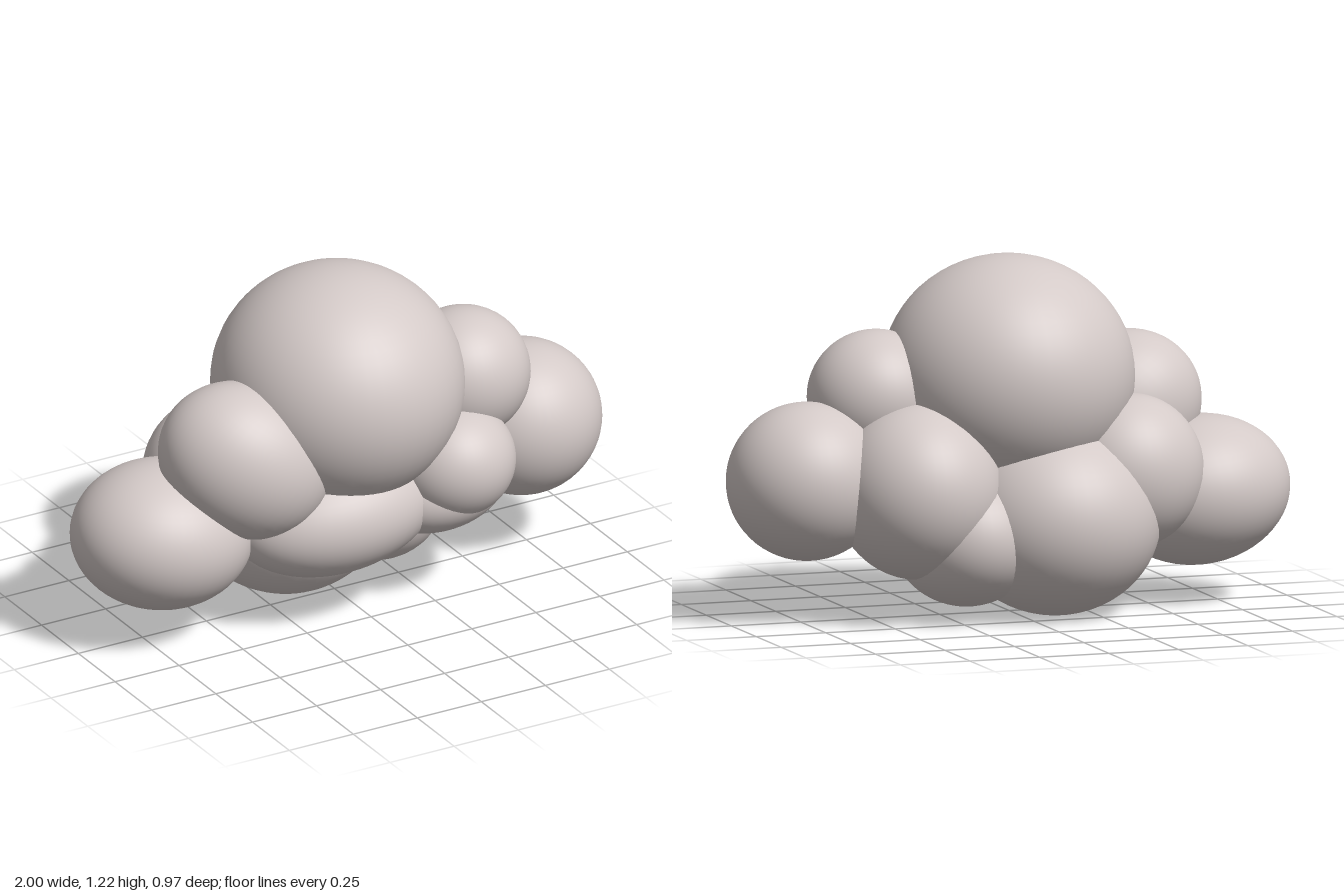
import * as THREE from 'three';

export function createModel() {
  const cloud = new THREE.Group();
  cloud.name = 'cloud';
  const cloudGrey = new THREE.MeshStandardMaterial({ color: 0xd3c9c7 });
  cloudGrey.name = 'cloudGrey';
  const ball = new THREE.SphereGeometry(1, 48, 32);

  // Each puff is an ellipsoid: name, centre, radii, turn about y, tilt about z
  const puffs = [
    ['crownPuff', [-0.01, 0.805, 0.04], [0.43, 0.41, 0.44], 0, 0],
    ['rightEndPuff', [0.725, 0.48, 0.01], [0.275, 0.27, 0.27], 0, 0],
    ['leftEndPuff', [-0.68, 0.38, 0.01], [0.32, 0.255, 0.29], 0, -0.12],
    ['upperRightPuff', [0.45, 0.745, 0.085], [0.235, 0.23, 0.225], 0, 0],
    ['upperLeftPuff', [-0.425, 0.645, 0.13], [0.31, 0.265, 0.245], -0.3, -0.6],
    ['frontRightPuff', [0.33, 0.51, 0.23], [0.215, 0.2, 0.215], 0, 0],
    ['frontMiddlePuff', [-0.08, 0.39, 0.13], [0.38, 0.22, 0.27], 0, 0.08],
    ['frontLowerRightPuff', [0.3, 0.41, 0.16], [0.26, 0.16, 0.23], 0, 0.15],
    ['backLeftPuff', [-0.38, 0.48, -0.135], [0.26, 0.265, 0.24], 0, 0],
    ['backRightPuff', [0.37, 0.445, -0.115], [0.285, 0.3, 0.305], 0, 0],
    ['bottomBackPuff', [-0.12, 0.33, -0.125], [0.36, 0.33, 0.36], 0, 0],
    ['bottomRightPuff', [0.2, 0.285, -0.115], [0.25, 0.24, 0.29], 0, 0],
    ['corePuff', [0, 0.5, 0], [0.4, 0.25, 0.25], 0, 0],
  ];

  for (const [name, centre, radii, turn, tilt] of puffs) {
    const puff = new THREE.Mesh(ball, cloudGrey);
    puff.name = name;
    puff.position.set(...centre);
    puff.scale.set(...radii);
    puff.rotation.set(0, turn, tilt);
    cloud.add(puff);
  }
  return cloud;
}
